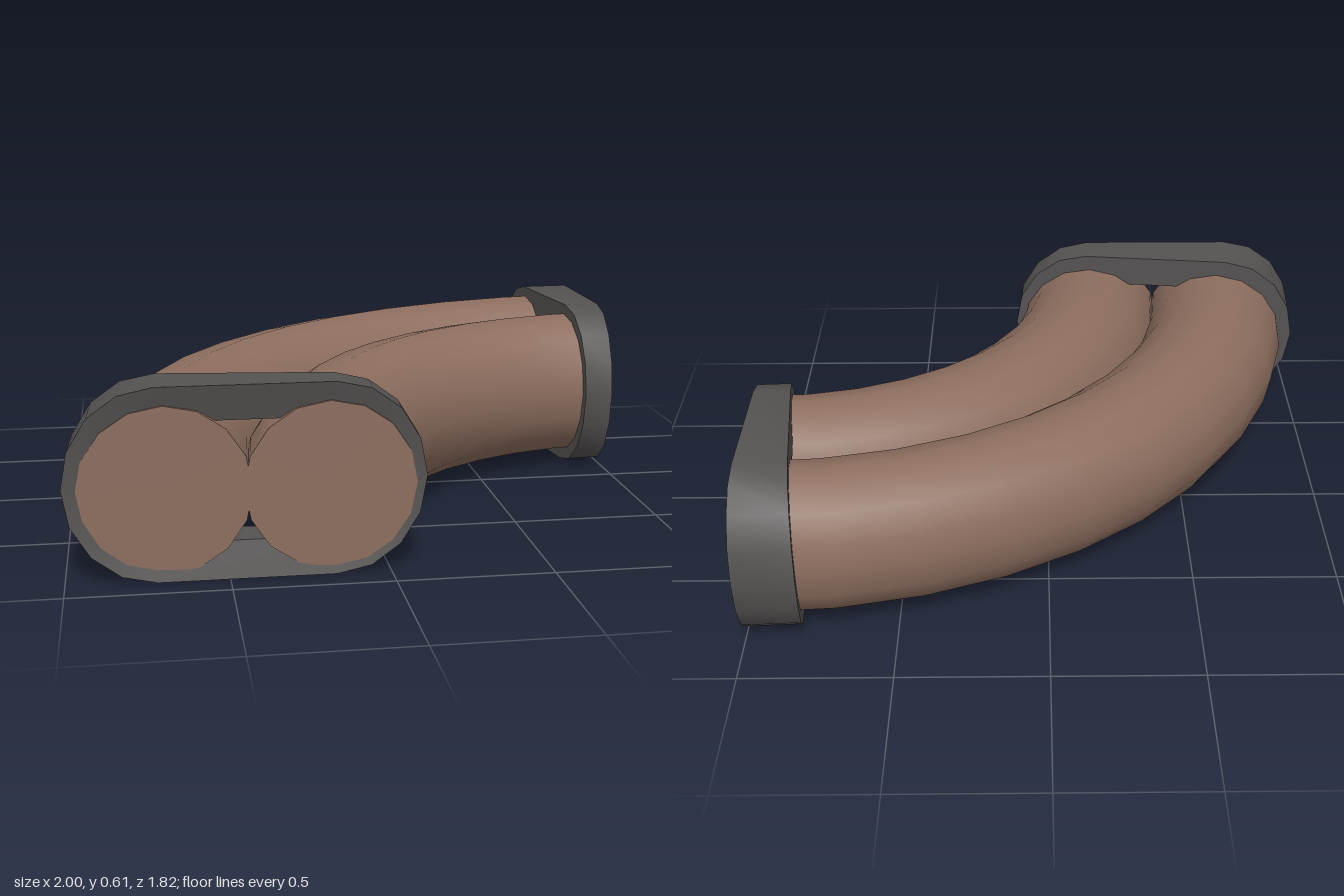
import * as THREE from 'three';
import { toCreasedNormals } from 'three/addons/utils/BufferGeometryUtils.js';

const CX = 1, CZ = 0.91; // centre of the bend

// Skin between closed rings of points, keeping sharp edges sharp
function loft(rings) {
  const n = rings[0].length, index = [];
  for (let i = 0; i < rings.length - 1; i++) {
    for (let j = 0; j < n; j++) {
      const k = (j + 1) % n;
      const a = i * n + j, b = i * n + k, c = (i + 1) * n + k, d = (i + 1) * n + j;
      index.push(a, b, c, a, c, d);
    }
  }
  const g = new THREE.BufferGeometry().setFromPoints(rings.flat());
  g.setIndex(index);
  return toCreasedNormals(g, 0.6);
}

// Pipe along a quarter ellipse; rx, rz are centreline radii
function pipeGeometry(rx, rz) {
  const steps = 10, sides = 16, rings = [];
  const ring = (t, size) => {
    const f = t / (Math.PI / 2);
    return Array.from({ length: sides }, (_, j) => {
      const p = j / sides * Math.PI * 2, c = Math.cos(p) * size;
      return new THREE.Vector3(
        CX - (rx + 0.267 * c) * Math.cos(t),
        0.285 + 0.025 * f + 0.265 * Math.sin(p) * size,
        CZ - (rz + 0.214 * c) * Math.sin(t));
    });
  };
  const t0 = 0.006, t1 = Math.PI / 2 - 0.006;
  rings.push(ring(t0, 0));
  for (let i = 0; i <= steps; i++) rings.push(ring(t0 + (t1 - t0) * i / steps, 1));
  rings.push(ring(t1, 0));
  return loft(rings);
}

// Wedge-shaped stadium collar; u runs out from the bend centre, w into the bend
function collarGeometry(mid, flat, endRim, endHole, side) {
  const half = 8, tilt = 0.11;
  const ring = (end, h, place) => {
    const pts = [];
    for (const s of [1, -1]) {
      for (let j = 0; j <= half; j++) {
        const p = -Math.PI / 2 + Math.PI * j / half;
        const [u, w] = place(mid + s * (flat + end * Math.cos(p)));
        const y = 0.305 + s * h * Math.sin(p);
        pts.push(side ? new THREE.Vector3(CX - w, y, CZ - u)
          : new THREE.Vector3(CX - u, y, CZ - w));
      }
    }
    return side ? pts.reverse() : pts;
  };
  const front = u => [u, 0];
  const recessed = u => [u, 0.03];
  const back = u => [u * Math.cos(tilt), u * Math.sin(tilt)];
  return loft([
    ring(endHole, 0.19, recessed),
    ring(endRim, 0.305, front),
    ring(endRim, 0.305, back),
    ring(endHole, 0.19, back),
    ring(endHole, 0.19, recessed),
  ]);
}

export function createModel() {
  const brown = new THREE.MeshStandardMaterial({ color: 0x8d6e5f });
  brown.name = 'pipeBrown';
  const grey = new THREE.MeshStandardMaterial({ color: 0x555352 });
  grey.name = 'collarGrey';

  const model = new THREE.Group();
  model.name = 'twinPipeBend';
  const add = (name, geometry, material) => {
    const mesh = new THREE.Mesh(geometry, material);
    mesh.name = name;
    model.add(mesh);
  };

  // Two pipes side by side
  add('outerPipe', pipeGeometry(1.693, 1.58), brown);
  add('innerPipe', pipeGeometry(1.187, 1.174), brown);

  // A collar around both pipes at each end
  add('frontCollar', collarGeometry(1.445, 0.275, 0.28, 0.165, false), grey);
  add('sideCollar', collarGeometry(1.375, 0.22, 0.225, 0.13, true), grey);
  return model;
}
